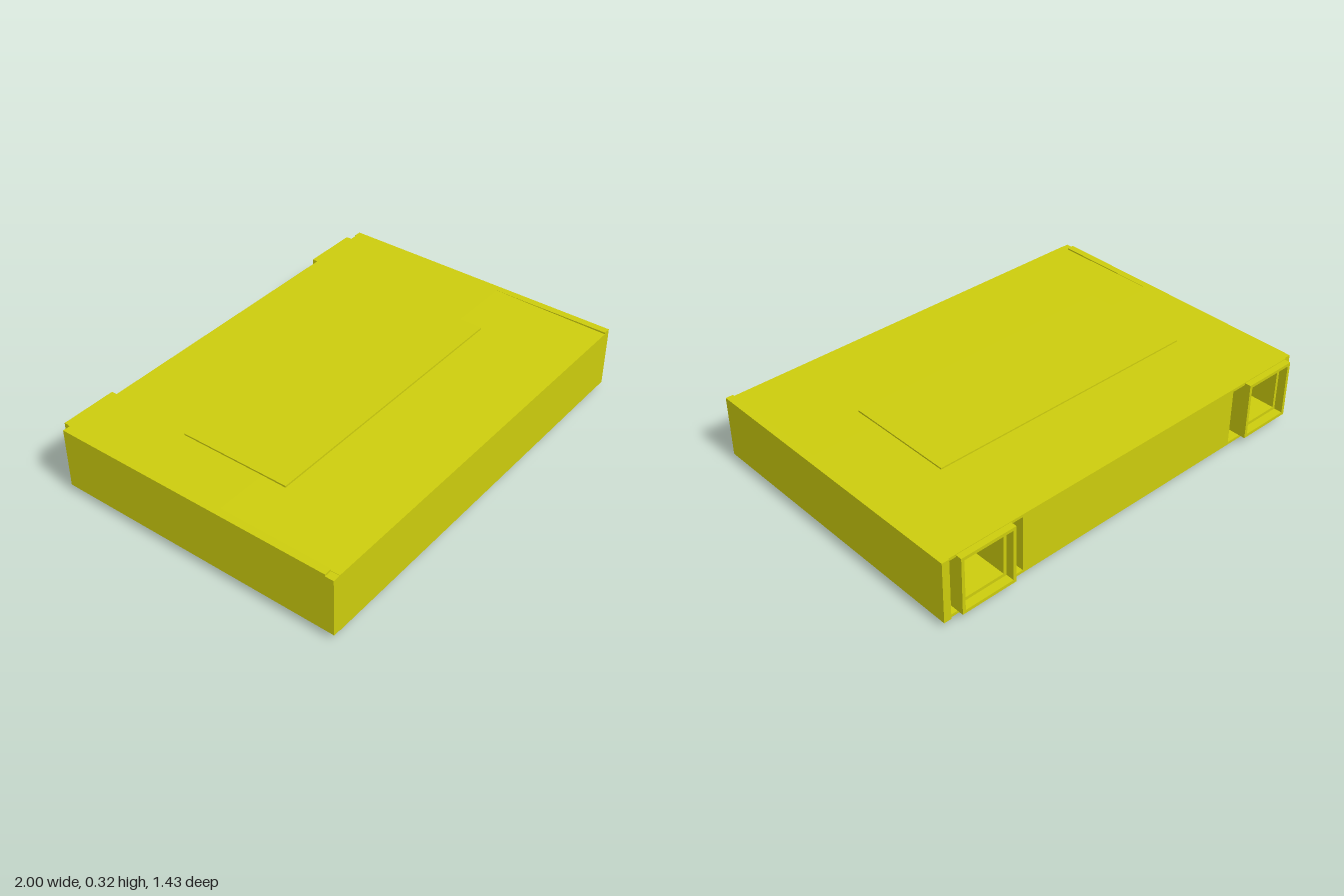
import * as THREE from 'three';

const material = new THREE.MeshStandardMaterial({ color: 0xcccc0d, flatShading: true });

// Shape from a list of [x, y] points
const shapeOf = (pts) => new THREE.Shape(pts.map(([x, y]) => new THREE.Vector2(x, y)));
const extrude = (shape, depth) => new THREE.ExtrudeGeometry(shape, { depth, bevelEnabled: false });

// Extrude a [z, y] side profile from x0 to x1
function acrossX(profile, x0, x1) {
  return extrude(shapeOf(profile.map(([z, y]) => [-z, y])), x1 - x0)
    .rotateY(Math.PI / 2).translate(x0, 0, 0);
}

// Box given by its limits
function boxOf(x0, x1, y0, y1, z0, z1) {
  return new THREE.BoxGeometry(x1 - x0, y1 - y0, z1 - z0)
    .translate((x0 + x1) / 2, (y0 + y1) / 2, (z0 + z1) / 2);
}

export function createModel() {
  const model = new THREE.Group();
  const add = (name, geometry) => {
    const mesh = new THREE.Mesh(geometry, material);
    mesh.name = name;
    model.add(mesh);
  };

  // Core: floor plan with two stepped pockets in the back edge
  const back = -0.685, shoulder = -0.6, deep = -0.2, side = 0.965;
  const plan = [
    [-side, 0.675], [side, 0.675], [side, shoulder],
    [0.93, shoulder], [0.93, deep], [0.66, deep], [0.66, shoulder], [0.6, shoulder], [0.6, back],
    [-0.615, back], [-0.615, shoulder], [-0.69, shoulder], [-0.69, deep], [-0.96, deep],
    [-0.96, shoulder], [-side, shoulder],
  ];
  add('core', extrude(shapeOf(plan.map(([x, z]) => [x, -z])), 0.265)
    .rotateX(-Math.PI / 2).translate(0, 0.04, 0));

  // Top panel dips slightly toward the front; bottom panel is flat
  add('topPanel', acrossX(
    [[back, 0.305], [0.715, 0.305], [0.715, 0.31], [0.14, 0.318], [back, 0.318]], -side, side));
  add('bottomPanel', boxOf(-side, side, 0.027, 0.04, back, 0.715));

  // Front and side walls
  add('frontWall', boxOf(-1, side, 0.03, 0.309, 0.675, 0.715));
  add('rightWall', boxOf(side, 1, 0.025, 0.318, -0.69, 0.715));
  add('leftWall', boxOf(-1, -side, 0.03, 0.318, -0.68, 0.675));

  // Raised plates above and below
  add('topPlate', boxOf(-0.72, 0.65, 0.31, 0.325, -0.27, 0.26));
  add('bottomPlate', boxOf(-0.72, 0.65, 0, 0.035, -0.27, 0.26));

  // Tapered runner under one front corner, narrower at its lower face
  const runner = acrossX([[0.68, 0.03], [0.02, 0.028], [0.2, 0.014], [0.68, 0.012]], 0.66, 0.97);
  const p = runner.attributes.position;
  for (let i = 0; i < p.count; i++) {
    if (p.getY(i) < 0.02) p.setX(i, p.getX(i) < 0.8 ? 0.69 : 0.945);
  }
  runner.computeVertexNormals();
  add('runner', runner);

  // Hollow rear sockets with a stepped rim
  for (const [x0, x1] of [[-0.96, -0.69], [0.66, 0.93]]) {
    for (const [wall, z, depth] of [[0.015, -0.715, 0.04], [0.03, -0.675, 0.2]]) {
      const frame = shapeOf([[x0, 0.04], [x1, 0.04], [x1, 0.315], [x0, 0.315]]);
      frame.holes.push(shapeOf([
        [x0 + wall, 0.04 + wall], [x0 + wall, 0.315 - wall],
        [x1 - wall, 0.315 - wall], [x1 - wall, 0.04 + wall]]));
      add('rearSocket', extrude(frame, depth).translate(0, 0, z));
    }
  }
  return model;
}
